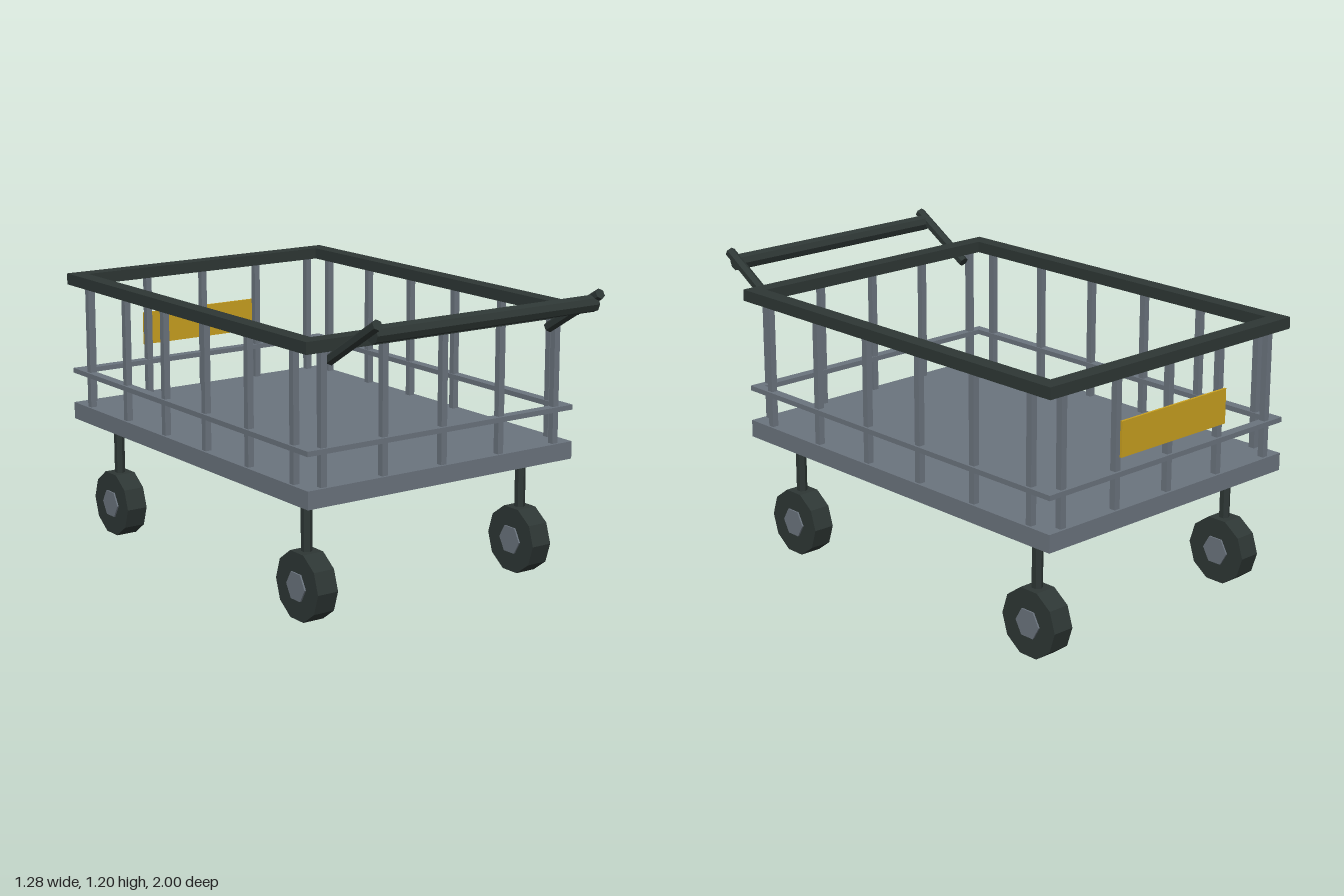
import * as THREE from 'three';

const CENTER_Z = -0.13; // middle of the basket, the handle overhangs in front

export function createModel() {
  const material = (name, color) => {
    const m = new THREE.MeshStandardMaterial({ color });
    m.name = name;
    return m;
  };
  const dark = material('dark rubber', 0x2e3735);
  const steel = material('grey steel', 0x6b747e);
  const yellow = material('yellow sign', 0xc9a020);

  const cart = new THREE.Group();
  cart.name = 'cart';

  const add = (parent, name, geometry, mat, x, y, z) => {
    const mesh = new THREE.Mesh(geometry, mat);
    mesh.name = name;
    mesh.position.set(x, y, z);
    parent.add(mesh);
    return mesh;
  };

  // low-poly rods have hard facets
  const rod = (radius, length, sides) => {
    const g = new THREE.CylinderGeometry(radius, radius, length, sides).toNonIndexed();
    g.computeVertexNormals();
    return g;
  };

  // flat rectangular ring lying in the xz plane
  const frame = (halfX, halfZ, width, height) => {
    const rect = (Type, a, b) => {
      const s = new Type();
      s.moveTo(-a, -b).lineTo(a, -b).lineTo(a, b).lineTo(-a, b).closePath();
      return s;
    };
    const shape = rect(THREE.Shape, halfX, halfZ);
    shape.holes.push(rect(THREE.Path, halfX - width, halfZ - width));
    const g = new THREE.ExtrudeGeometry(shape, { depth: height, bevelEnabled: false });
    return g.translate(0, 0, -height / 2).rotateX(-Math.PI / 2);
  };

  // Basket
  const basket = new THREE.Group();
  basket.name = 'basket';
  basket.position.z = CENTER_Z;
  cart.add(basket);
  add(basket, 'floor', new THREE.BoxGeometry(1.256, 0.07, 1.716), steel, 0, 0.51, 0);
  add(basket, 'middleRail', frame(0.628, 0.858, 0.04, 0.02), steel, 0, 0.682, 0);
  add(basket, 'topRim', frame(0.64, 0.868, 0.065, 0.046), dark, 0, 1.07, 0);

  // Upright posts: five on each end, six on each side
  const post = new THREE.BoxGeometry(0.026, 0.51, 0.026);
  for (const side of [-1, 1]) {
    for (let i = 0; i < 5; i++) {
      add(basket, 'endPost', post, steel, (i - 2) * 0.275, 0.795, side * 0.835);
    }
    for (let i = 0; i < 6; i++) {
      add(basket, 'sidePost', post, steel, side * 0.606, 0.795, (i - 2.5) * 0.297);
    }
  }

  // Sign plate on the back
  add(cart, 'signPlate', new THREE.BoxGeometry(0.56, 0.138, 0.0095), yellow, 0, 0.819, -0.995);

  // Wheels with stems and hubs
  const stem = rod(0.0215, 0.33, 6);
  const tire = rod(0.137, 0.09, 10).rotateZ(Math.PI / 2);
  const hub = rod(0.06, 0.103, 6).rotateZ(Math.PI / 2);
  for (const x of [-0.515, 0.515]) {
    for (const z of [0.557, -0.815]) {
      const caster = new THREE.Group();
      caster.name = 'caster';
      caster.position.set(x, 0, z);
      cart.add(caster);
      add(caster, 'stem', stem, dark, 0, 0.325, 0);
      add(caster, 'tire', tire, dark, 0, 0.131, 0);
      add(caster, 'hub', hub, steel, 0, 0.131, 0);
    }
  }

  // Push handle: two sloping arms and a crossbar
  const handle = new THREE.Group();
  handle.name = 'handle';
  cart.add(handle);
  const low = new THREE.Vector2(0.704, 1.008); // (z, y)
  const high = new THREE.Vector2(0.988, 1.18);
  for (const x of [-0.515, 0.515]) {
    const arm = add(handle, 'handleArm', rod(0.0215, low.distanceTo(high), 6), dark,
      x, (low.y + high.y) / 2, (low.x + high.x) / 2);
    arm.rotation.x = Math.atan2(high.x - low.x, high.y - low.y);
  }
  add(handle, 'handleBar', rod(0.033, 1.03, 8).rotateZ(Math.PI / 2), dark, 0, 1.14, 0.956);

  return cart;
}
